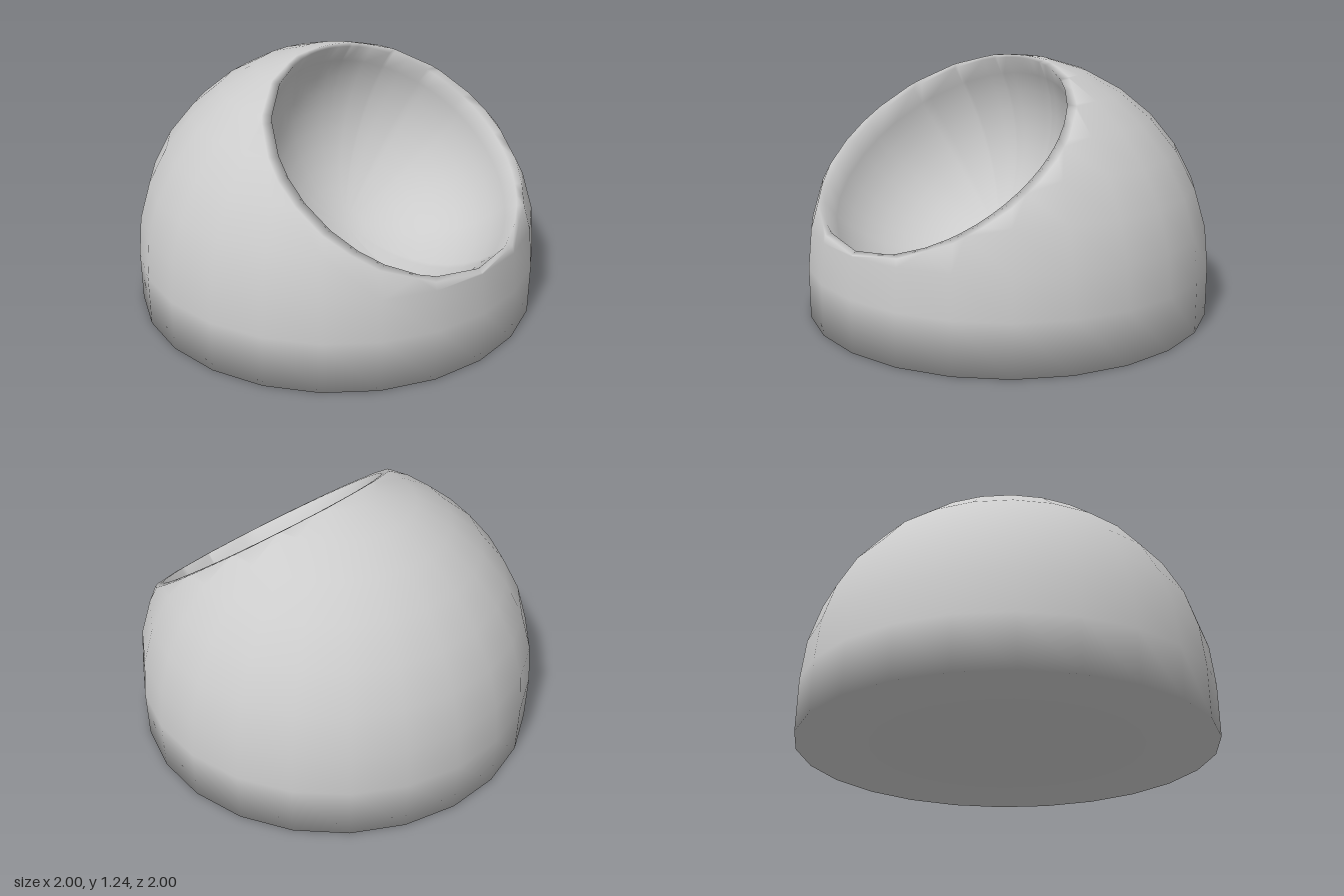
import * as THREE from 'three';
import { mergeVertices } from 'three/addons/utils/BufferGeometryUtils.js';

const CENTRE_Y = 0.25; // centre of the dome's sphere, on top of a short straight base
const NORMAL = new THREE.Vector3(0, 0.807, 0.59).normalize(); // direction the opening faces
const CUT = 0.74; // distance of the opening plane from the dome centre

const height = (p) => p.dot(NORMAL) - NORMAL.y * CENTRE_Y - CUT;
const snap = (p) => p.set(...p.toArray().map((c) => Math.round(c * 1000) / 1000));

// Round dome on a straight base, with a closed floor
function domeBlank() {
  const profile = [new THREE.Vector2(0, 0), new THREE.Vector2(1, 0)];
  for (let i = 0; i <= 8; i++) {
    const a = (i / 8) * Math.PI / 2;
    profile.push(new THREE.Vector2(i === 8 ? 0 : Math.cos(a), CENTRE_Y + Math.sin(a)));
  }
  return new THREE.LatheGeometry(profile, 24).toNonIndexed();
}

export function createModel() {
  const positions = [];
  const addTriangle = (a, b, c) => {
    const area = b.clone().sub(a).cross(c.clone().sub(a)).length();
    if (area > 1e-7) positions.push(...a.toArray(), ...b.toArray(), ...c.toArray());
  };

  // Slice the dome along the slanted opening and remember the cut edge
  const rimPoints = new Map();
  const source = domeBlank().attributes.position;
  for (let i = 0; i < source.count; i += 3) {
    const tri = [0, 1, 2].map((k) => new THREE.Vector3().fromBufferAttribute(source, i + k));
    const kept = [];
    tri.forEach((p, k) => {
      const q = tri[(k + 1) % 3];
      const hp = height(p), hq = height(q);
      if (hp <= 0) kept.push(snap(p.clone()));
      if ((hp <= 0) !== (hq <= 0)) {
        const c = snap(p.clone().lerp(q, hp / (hp - hq)));
        const key = c.toArray().map((n) => Math.round(n * 1000)).join();
        rimPoints.set(key, c);
        kept.push(c);
      }
    });
    for (let k = 1; k + 1 < kept.length; k++) addTriangle(kept[0], kept[k], kept[k + 1]);
  }

  // Order the cut edge around the opening
  const centre = NORMAL.clone().multiplyScalar(CUT).add(new THREE.Vector3(0, CENTRE_Y, 0));
  const u = new THREE.Vector3(1, 0, 0);
  const v = NORMAL.clone().cross(u);
  const angle = (p) => {
    const d = p.clone().sub(centre);
    return Math.atan2(d.dot(v), d.dot(u));
  };
  let ring = [...rimPoints.values()].sort((a, b) => angle(a) - angle(b));
  const angles = ring.map(angle);

  // Narrow flat rim, then the bowl-shaped hollow
  const steps = 10;
  for (let s = 0; s <= steps; s++) {
    const t = (s / steps) * Math.PI / 2;
    const next = angles.map((a) => centre.clone()
      .addScaledVector(u, 0.61 * Math.cos(a) * Math.cos(t))
      .addScaledVector(v, 0.645 * Math.sin(a) * Math.cos(t))
      .addScaledVector(NORMAL, -0.62 * Math.sin(t)));
    ring.forEach((p, i) => {
      const j = (i + 1) % ring.length;
      addTriangle(p, ring[j], next[j]);
      addTriangle(p, next[j], next[i]);
    });
    ring = next;
  }

  // Weld everything so the shading flows over the rim and the base edge
  let geometry = new THREE.BufferGeometry();
  geometry.setAttribute('position', new THREE.Float32BufferAttribute(positions, 3));
  geometry = mergeVertices(geometry, 1e-4);
  geometry.computeVertexNormals();

  const body = new THREE.Mesh(geometry, new THREE.MeshStandardMaterial({ color: 0xcccccc }));
  body.name = 'hollowedDome';
  const group = new THREE.Group();
  group.name = 'domeWithSlantedOpening';
  group.add(body);
  return group;
}
